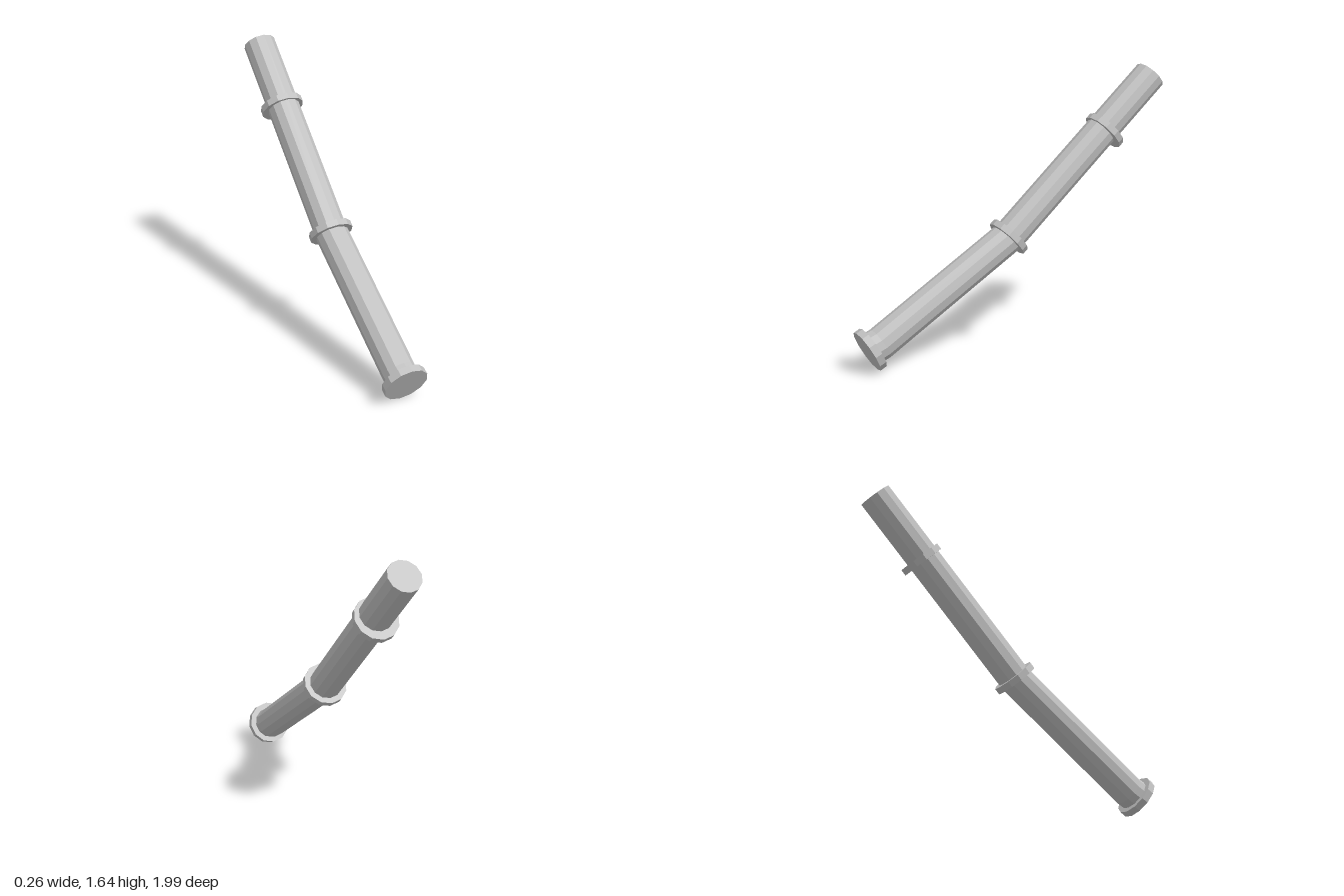
import * as THREE from 'three';

const SIDES = 12;
const rad = THREE.MathUtils.degToRad;

// Centre line of the pipe: y, z and the tilt of each cross-section in degrees
const PATH = [
  { y: 0.13, z: 0.917, tilt: 28 },
  { y: 0.157, z: 0.855, tilt: 30 },
  { y: 0.682, z: 0.037, tilt: 39 },
  { y: 1.576, z: -0.929, tilt: 44.5 },
];

export function createModel() {
  const group = new THREE.Group();
  group.name = 'bentPipe';
  const grey = new THREE.MeshStandardMaterial({ color: 0xc0c0c0 });
  grey.name = 'grey metal';
  grey.flatShading = true;

  // Pipe: a capped cylinder whose rings are moved onto the centre line
  const spans = PATH.length - 1;
  const pipeGeometry = new THREE.CylinderGeometry(0.097, 0.097, spans, SIDES, spans);
  const pos = pipeGeometry.attributes.position;
  for (let i = 0; i < pos.count; i++) {
    const p = PATH[Math.round(pos.getY(i) + spans / 2)];
    const u = pos.getZ(i);
    const a = rad(p.tilt);
    pos.setXYZ(i, pos.getX(i), p.y + u * Math.cos(a), p.z + u * Math.sin(a));
  }
  pipeGeometry.computeVertexNormals();
  const pipe = new THREE.Mesh(pipeGeometry, grey);
  pipe.name = 'pipe';
  group.add(pipe);

  // Flat collars around the pipe, the lowest one closing its end
  function addCollar(name, y, z, tilt, thickness) {
    const collar = new THREE.Mesh(new THREE.CylinderGeometry(0.13, 0.13, thickness, SIDES), grey);
    collar.name = name;
    collar.position.set(0, y, z);
    collar.rotation.x = rad(tilt - 90);
    group.add(collar);
  }
  addCollar('endFlange', 0.13, 0.917, 28, 0.042);
  addCollar('middleCollar', 0.682, 0.036, 43, 0.038);
  addCollar('upperCollar', 1.26, -0.612, 43, 0.038);

  return group;
}
